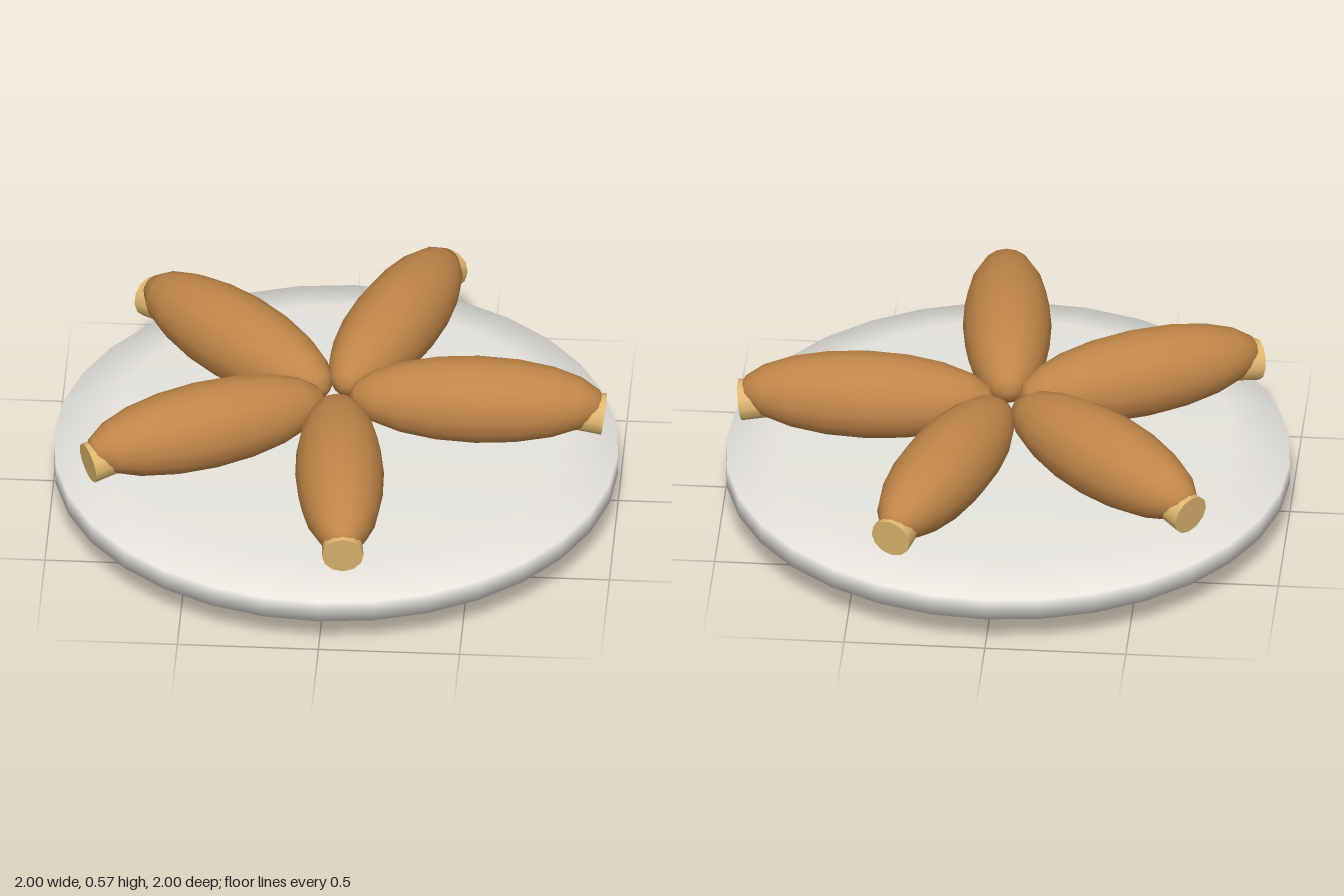
import * as THREE from 'three';

const mat = (color) => new THREE.MeshStandardMaterial({ color });

export function createModel() {
  const root = new THREE.Group();
  const plateMat = mat(0xe6e4dd);
  const meatMat = mat(0xc08648);
  const boneMat = mat(0xe0b870);

  // Plate: sloped underside, short vertical rim and bevelled flat top
  const profile = [[0, 0], [0.7, 0], [1, 0.12], [1, 0.2], [0.8, 0.25], [0, 0.25]]
    .map(([r, y]) => new THREE.Vector2(r, y));
  const plate = new THREE.Mesh(new THREE.LatheGeometry(profile, 32), plateMat);
  plate.name = 'plate';
  root.add(plate);

  // Meat: long ellipsoid lying along x
  const meatGeo = new THREE.SphereGeometry(1, 16, 10);
  meatGeo.rotateZ(-Math.PI / 2);
  meatGeo.scale(0.455, 0.157, 0.157);

  // Bone: short stub, slightly wider at its outer end
  const boneGeo = new THREE.CylinderGeometry(0.074, 0.064, 0.2, 12);
  boneGeo.translate(0, -0.1, 0);
  boneGeo.rotateZ(-Math.PI / 2 - 0.13);

  // Five drumsticks fanned around the plate
  for (let i = 0; i < 5; i++) {
    const drumstick = new THREE.Group();
    drumstick.name = `drumstick${i + 1}`;

    const meat = new THREE.Mesh(meatGeo, meatMat);
    meat.name = 'meat';
    meat.position.set(0.5, 0.412, 0);

    const bone = new THREE.Mesh(boneGeo, boneMat);
    bone.name = 'bone';
    bone.position.set(0.95, 0.368, 0);

    drumstick.add(meat, bone);
    drumstick.rotation.y = i * 1.2;
    root.add(drumstick);
  }

  return root;
}
